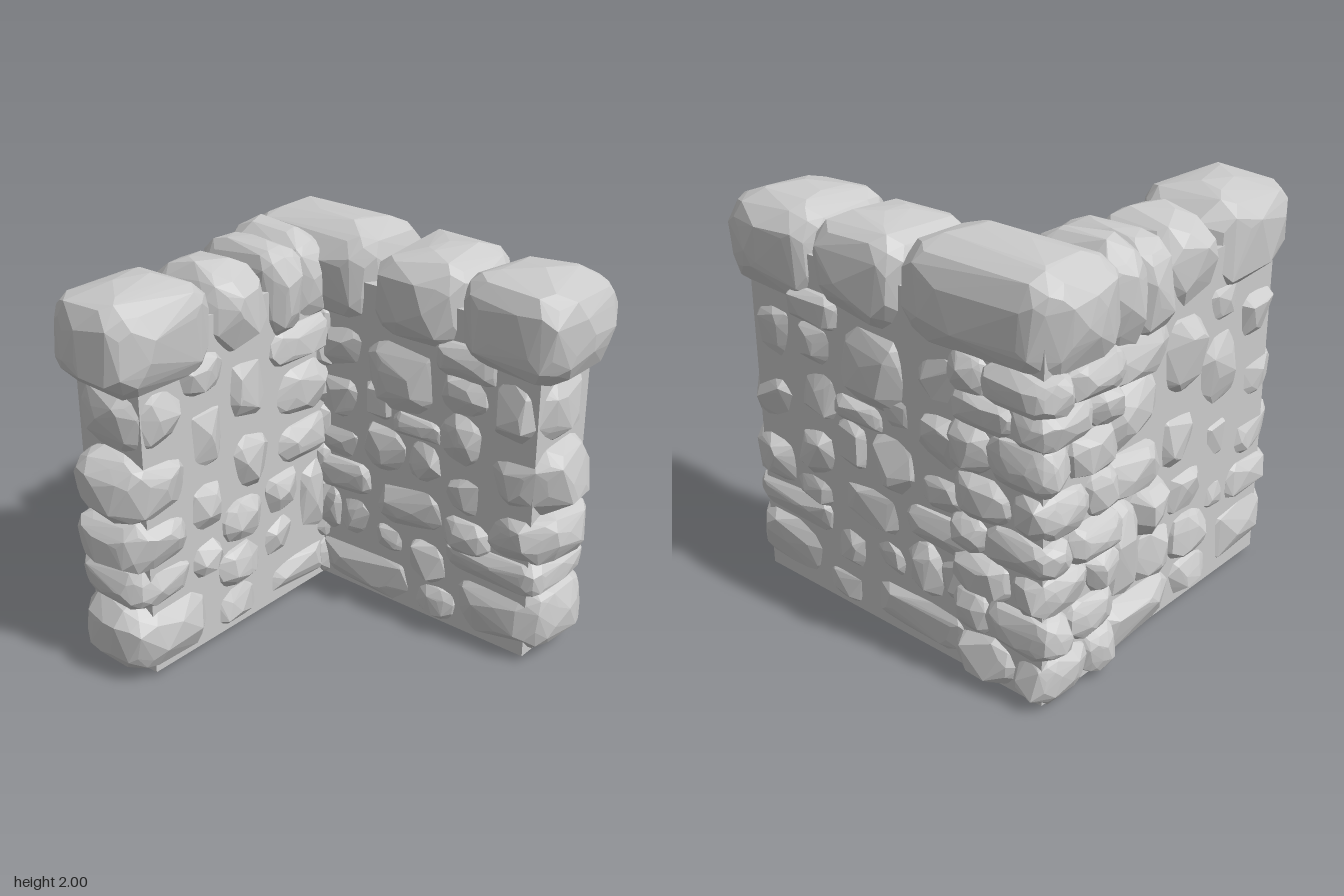
import * as THREE from 'three';
import { ConvexGeometry } from 'three/addons/geometries/ConvexGeometry.js';

let seed = 7;
const rand = () => {
  seed = (seed * 16807) % 2147483647;
  return seed / 2147483647;
};
const jitter = (a) => (rand() - 0.5) * 2 * a;

const material = new THREE.MeshStandardMaterial({ color: 0xcccccc, flatShading: true });

// Directions over one rounded corner
const CORNER = [
  [0.97, 0.1, 0.1], [0.1, 0.97, 0.1], [0.1, 0.1, 0.97],
  [0.74, 0.7, 0.1], [0.1, 0.74, 0.7], [0.7, 0.1, 0.74],
  [0.62, 0.6, 0.58], [0.88, 0.4, 0.35], [0.35, 0.88, 0.4], [0.4, 0.35, 0.88],
];

// A weathered boulder: the convex hull of a jittered rounded box with bulging faces
function stone(name, x0, x1, y0, y1, z0, z1) {
  const half = [(x1 - x0) / 2, (y1 - y0) / 2, (z1 - z0) / 2];
  const radius = Math.min(0.17, Math.min(...half) * 0.95);
  const r = half.map((h) => Math.min(h * 0.75, radius));
  const points = [];
  for (const sx of [-1, 1]) for (const sy of [-1, 1]) for (const sz of [-1, 1]) {
    const s = [sx, sy, sz];
    const wear = half.map((h, i) => h - r[i] * (0.06 + rand() * 0.12));
    for (const dir of CORNER)
      points.push(new THREE.Vector3(...dir.map((d, i) =>
        s[i] * (wear[i] - r[i] * (1 - Math.min(1, d + jitter(0.09)))))));
  }
  for (let axis = 0; axis < 3; axis++) for (const side of [-1, 1]) for (let k = 0; k < 4; k++) {
    const p = half.map((h) => jitter(h * 0.5));
    p[axis] = side * (half[axis] - (k ? rand() * 0.015 : 0));
    points.push(new THREE.Vector3(...p));
  }
  const mesh = new THREE.Mesh(new ConvexGeometry(points), material);
  mesh.name = name;
  mesh.position.set((x0 + x1) / 2, (y0 + y1) / 2, (z0 + z1) / 2);
  return mesh;
}

function core(x0, x1, y0, y1, z0, z1) {
  const mesh = new THREE.Mesh(new THREE.BoxGeometry(x1 - x0, y1 - y0, z1 - z0), material);
  mesh.name = 'mortarCore';
  mesh.position.set((x0 + x1) / 2, (y0 + y1) / 2, (z0 + z1) / 2);
  return mesh;
}

// Face layouts: [start, end, bottom, top] along each wall
const BACK_STONES = [
  [-0.18, 0.31, 1.09, 1.55], [-0.52, -0.15, 1.25, 1.54], [-0.52, -0.18, 0.95, 1.27],
  [0.23, 0.62, 1.4, 1.6], [0.27, 0.58, 1.22, 1.46], [0.53, 0.88, 1.13, 1.52],
  [0.25, 0.56, 0.93, 1.26], [0.52, 0.96, 0.78, 1.15], [-0.2, 0.1, 0.74, 1.08],
  [0.08, 0.32, 0.76, 1.06], [-0.52, -0.18, 0.75, 0.96], [0.3, 0.59, 0.64, 0.95],
  [0.55, 0.95, 0.52, 0.81], [-0.14, 0.36, 0.48, 0.78], [-0.52, -0.12, 0.58, 0.77],
  [0.33, 0.62, 0.49, 0.68], [-0.36, -0.12, 0.31, 0.61], [-0.14, 0.12, 0.3, 0.51],
  [0.09, 0.39, 0.2, 0.51], [0.34, 0.91, 0.38, 0.56], [0.39, 0.96, 0.015, 0.43],
  [-0.52, 0.17, 0.01, 0.33], [0.14, 0.43, 0.02, 0.24], [-0.52, -0.3, 0.3, 0.61],
  [-0.2, 0.02, 1.04, 1.28], [0.0, 0.3, 1.02, 1.14],
];
const SIDE_STONES = [
  [0.52, 0.86, 1.16, 1.53], [0.24, 0.6, 1.36, 1.61], [0.22, 0.57, 0.94, 1.38],
  [-0.05, 0.28, 1.1, 1.54], [-0.52, -0.03, 1.33, 1.56], [-0.52, -0.04, 1.02, 1.37],
  [0.5, 0.95, 0.83, 1.18], [0.25, 0.57, 0.6, 0.98], [-0.07, 0.26, 0.74, 1.11],
  [-0.52, -0.06, 0.79, 1.03], [0.5, 0.94, 0.57, 0.86], [0, 0.33, 0.5, 0.76],
  [-0.25, 0.01, 0.53, 0.81], [-0.52, -0.21, 0.29, 0.81], [0.5, 0.9, 0.38, 0.6],
  [0.29, 0.54, 0.38, 0.63], [0.05, 0.37, 0.26, 0.51], [-0.22, 0.06, 0.27, 0.55],
  [0.38, 0.95, 0.015, 0.41], [0.06, 0.4, 0.02, 0.28], [-0.52, 0.07, 0.01, 0.31],
];
const CORNER_ROWS = [0.005, 0.26, 0.46, 0.66, 0.82, 1.04, 1.25, 1.4, 1.56];

export function createModel() {
  seed = 7;
  const model = new THREE.Group();
  model.name = 'cornerStoneWall';
  const group = (name) => {
    const g = new THREE.Group();
    g.name = name;
    model.add(g);
    return g;
  };

  // Interior stones swell into their neighbours so that joints stay shallow
  const swell = (a, b, y0, y1) => [
    a - 0.02, b > 0.8 ? b : b + 0.02, y0 < 0.05 ? y0 : y0 - 0.018, y1 + 0.018,
  ];

  // Wall along x, with stones running through its full thickness
  const back = group('backWall');
  back.add(core(-0.9, 0.83, 0.04, 1.75, -0.88, -0.455));
  for (const box of BACK_STONES) {
    const [a, b, y0, y1] = swell(...box);
    back.add(stone('backWallStone', a, b, y0, y1, -0.925 + jitter(0.02), -0.405 + jitter(0.02)));
  }

  // Wall along z, slightly thicker towards the corner
  const side = group('sideWall');
  side.add(core(-0.86, -0.45, 0.04, 1.75, -0.8, 0.8));
  for (const box of SIDE_STONES) {
    const [a, b, y0, y1] = swell(...box);
    const outer = a < -0.2 ? -0.945 : a < 0.2 ? -0.92 : -0.895;
    side.add(stone('sideWallStone', outer + jitter(0.02), -0.4 + jitter(0.015), y0, y1, a, b));
  }

  // Corner: overlapping stones per course, with joints staggered between courses
  const corner = group('cornerStones');
  for (let i = 0; i < CORNER_ROWS.length - 1; i++) {
    const y0 = CORNER_ROWS[i] - (i ? 0.025 : 0);
    const y1 = CORNER_ROWS[i + 1] + 0.025;
    const xm = i % 2 ? -0.6 : -0.74;
    const zm = i % 2 ? -0.74 : -0.6;
    for (const [x0, x1] of [[-0.97, xm + 0.03], [xm - 0.03, -0.38]])
      for (const [z0, z1] of [[-0.94, zm + 0.03], [zm - 0.03, -0.38]])
        corner.add(stone('cornerStone', x0 + jitter(0.015), x1, y0, y1, z0 + jitter(0.015), z1));
  }

  // Large coping stones: x range, y range, z range
  const caps = group('capStones');
  for (const box of [
    [-0.99, -0.12, 1.49, 2.0, -0.96, -0.38],
    [-0.17, 0.41, 1.48, 1.965, -0.98, -0.36],
    [0.36, 0.99, 1.46, 1.975, -0.965, -0.355],
    [-0.96, -0.4, 1.46, 1.98, -0.54, -0.19],
    [-0.955, -0.37, 1.48, 1.95, -0.32, -0.03],
    [-0.92, -0.365, 1.49, 1.945, -0.07, 0.38],
    [-0.915, -0.34, 1.46, 1.965, 0.32, 0.985],
  ]) caps.add(stone('capStone', ...box));

  return model;
}
